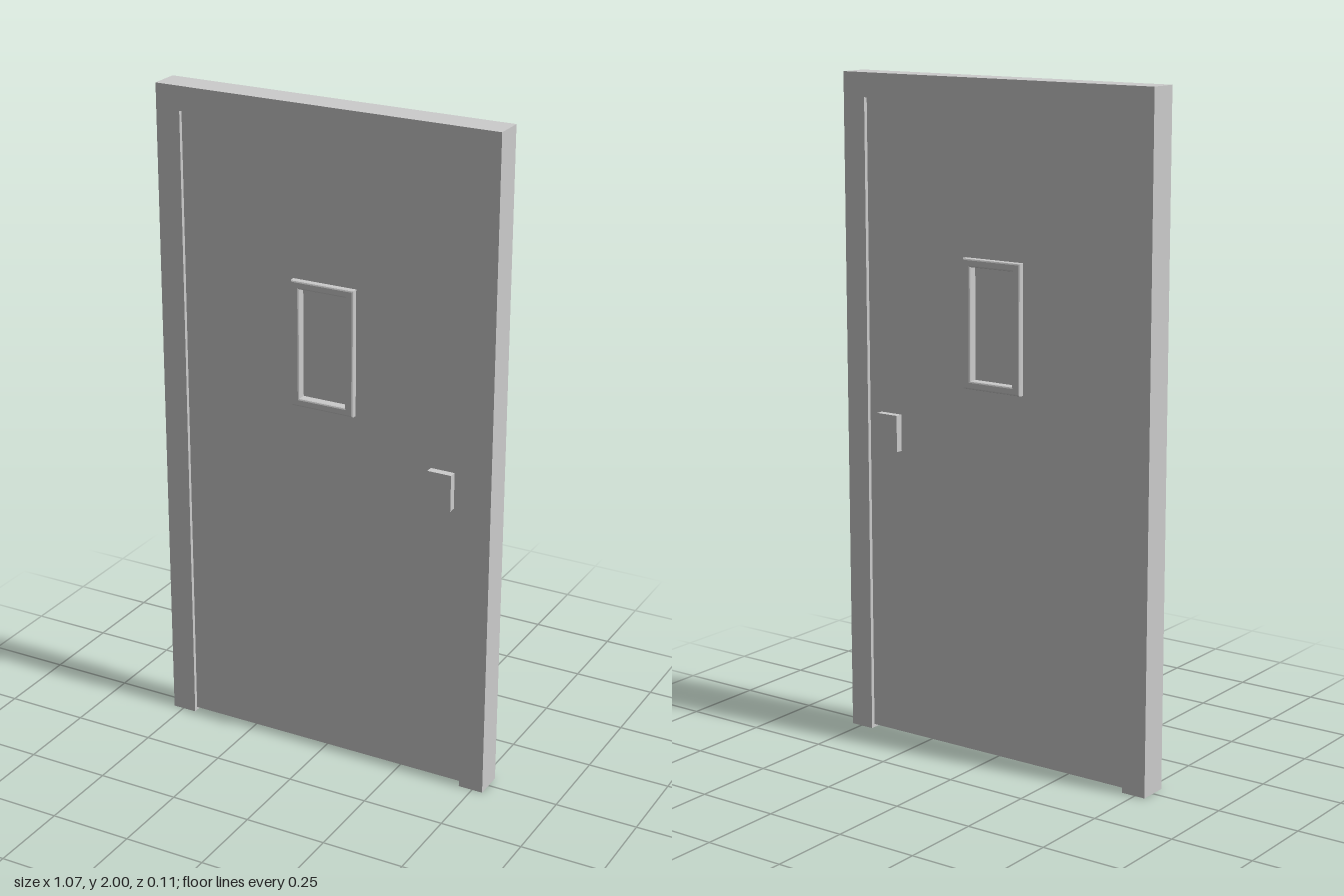
import * as THREE from 'three';

const material = new THREE.MeshStandardMaterial({ color: 0xcccccc, flatShading: true });

// Closed outline from corner points
const outline = (points, Type = THREE.Shape) =>
  new Type(points.map(([x, y]) => new THREE.Vector2(x, y)));
const rect = (w, y0, y1) => [[-w, y0], [w, y0], [w, y1], [-w, y1]];

function addMesh(group, name, geometry) {
  const mesh = new THREE.Mesh(geometry, material);
  mesh.name = name;
  group.add(mesh);
  return mesh;
}

// Plate centred on z = 0, with an optional edge bevel inside the outline
function plate(shape, halfDepth, bevel = 0) {
  const depth = 2 * (halfDepth - bevel);
  const geometry = new THREE.ExtrudeGeometry(shape, {
    depth, bevelEnabled: bevel > 0, bevelThickness: bevel, bevelSize: bevel,
    bevelOffset: -bevel, bevelSegments: 2,
  });
  return geometry.translate(0, 0, -depth / 2);
}

export function createModel() {
  const door = new THREE.Group();
  door.name = 'door';

  // Surround: two jambs and a head, open at the floor
  const surround = outline([
    [-0.533, 0], [-0.457, 0], [-0.457, 1.928], [0.457, 1.928],
    [0.457, 0], [0.533, 0], [0.533, 2], [-0.533, 2],
  ]);
  addMesh(door, 'doorFrame', plate(surround, 0.045));

  // Leaf with an opening for the window
  const leaf = outline(rect(0.457, 0.01, 1.928));
  leaf.holes.push(outline(rect(0.085, 1.12, 1.48), THREE.Path));
  addMesh(door, 'doorLeaf', plate(leaf, 0.033));

  // Window trim passing through the leaf, bevelled on both faces
  const trim = outline(rect(0.1, 1.11, 1.49));
  trim.holes.push(outline(rect(0.073, 1.135, 1.465), THREE.Path));
  addMesh(door, 'windowTrim', plate(trim, 0.051, 0.005));

  // Pane set back inside the trim
  addMesh(door, 'windowPane', new THREE.BoxGeometry(0.15, 0.336, 0.05)).position.y = 1.3;

  // Lock plates on both sides
  for (const side of [1, -1]) {
    const name = side > 0 ? 'frontLockPlate' : 'backLockPlate';
    addMesh(door, name, new THREE.BoxGeometry(0.074, 0.11, 0.026))
      .position.set(0.377, 0.945, side * 0.043);
  }
  return door;
}
